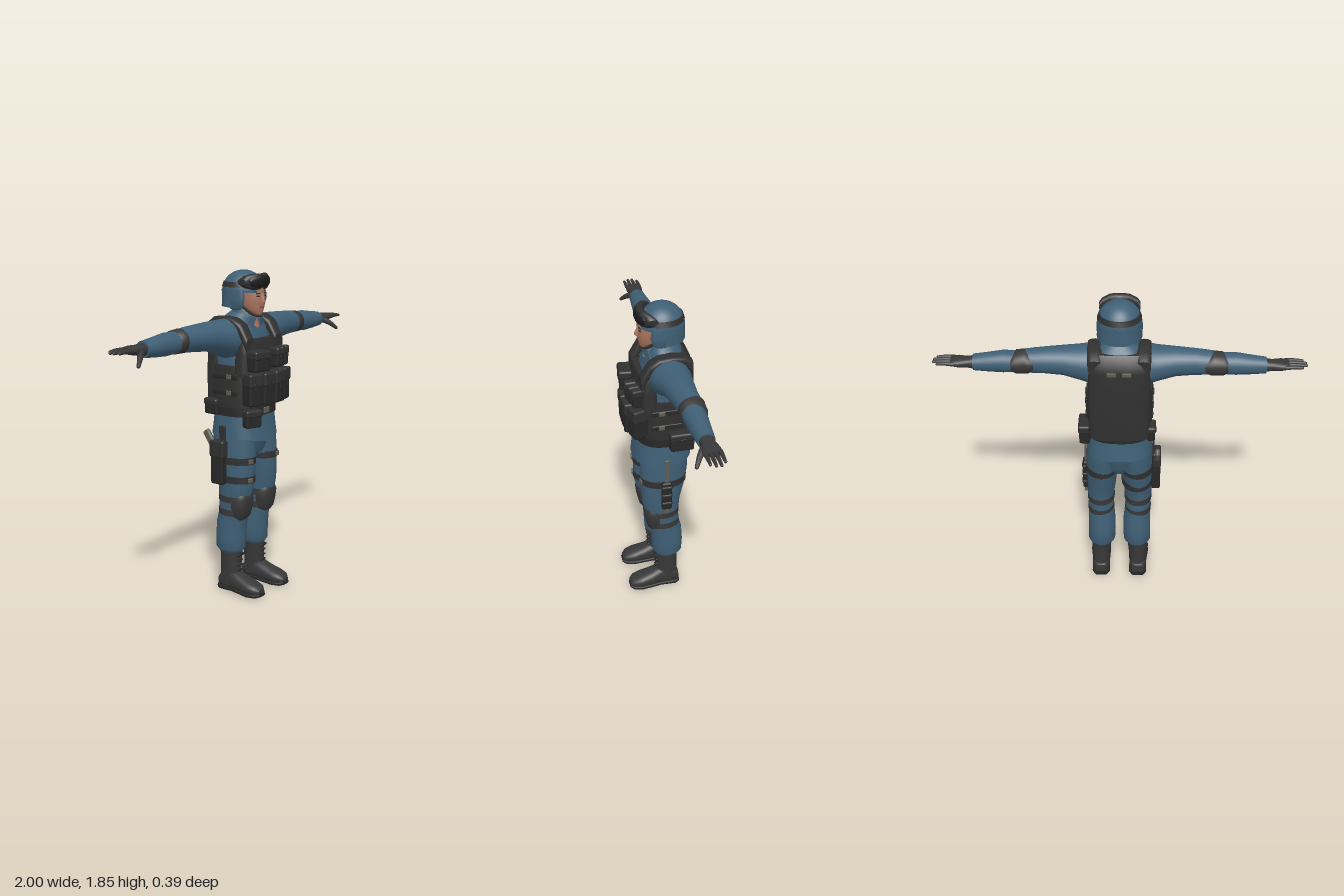
import * as THREE from 'three';
import { RoundedBoxGeometry } from 'three/addons/geometries/RoundedBoxGeometry.js';

const mat = (name, color, side = THREE.FrontSide) => {
  const m = new THREE.MeshStandardMaterial({ color, side });
  m.name = name;
  return m;
};

// Lofts superellipse rings along an axis. Row: [position, centreA, centreB, radiusA, radiusB]
// (A, B) is (x, z) for axis y, (y, z) for axis x, (x, y) for axis z.
function loft(axis, rows, power = 2, n = 28) {
  const sorted = [...rows].sort((a, b) => a[0] - b[0]);
  const pos = [], index = [];
  const se = v => Math.sign(v) * Math.abs(v) ** (2 / power);
  const ring = ([t, a, b, ra, rb]) => {
    for (let j = 0; j < n; j++) {
      const ang = j / n * Math.PI * 2;
      const u = a + ra * se(Math.cos(ang));
      const v = b + rb * se(Math.sin(ang)) * (axis === 'y' ? 1 : -1);
      if (axis === 'y') pos.push(u, t, v);
      else if (axis === 'x') pos.push(t, u, v);
      else pos.push(u, v, t);
    }
  };
  sorted.forEach(ring);
  for (let i = 0; i < sorted.length - 1; i++) {
    for (let j = 0; j < n; j++) {
      const k = (j + 1) % n, p = i * n, q = p + n;
      index.push(p + j, q + j, q + k, p + j, q + k, p + k);
    }
  }
  // Caps have their own rings so that their edges stay sharp
  [sorted[0], sorted[sorted.length - 1]].forEach((row, end) => {
    const base = pos.length / 3;
    ring(row);
    for (let j = 1; j < n - 1; j++) {
      index.push(base, base + (end ? j + 1 : j), base + (end ? j : j + 1));
    }
  });
  const g = new THREE.BufferGeometry();
  g.setAttribute('position', new THREE.Float32BufferAttribute(pos, 3));
  g.setIndex(index);
  g.computeVertexNormals();
  return g;
}

export function createModel() {
  const root = new THREE.Group();
  const blue = mat('blueCloth', 0x3f5f75, THREE.DoubleSide);
  const vest = mat('vestBlack', 0x303030);
  const pouchMat = mat('pouchBlack', 0x282828);
  const leather = mat('leatherGrey', 0x383838);
  const skin = mat('skin', 0xa8745f);
  const buckle = mat('buckleGrey', 0x605c52);
  const lens = mat('lensBlack', 0x1c1c1f);
  const lip = mat('lipRed', 0x84504a);

  const add = (name, geo, m) => {
    const mesh = new THREE.Mesh(geo, m);
    mesh.name = name;
    root.add(mesh);
    return mesh;
  };
  const box = (name, m, x, y, z, w, h, d, ry = 0, r = 0.012) => {
    const mesh = add(name, new RoundedBoxGeometry(w, h, d, 2, Math.min(r, w / 2.1, h / 2.1, d / 2.1)), m);
    mesh.position.set(x, y, z);
    mesh.rotation.y = ry;
    return mesh;
  };
  const limb = (name, m, pts, r0, r1) => {
    const curve = new THREE.CatmullRomCurve3(pts.map(p => new THREE.Vector3(...p)));
    const g = new THREE.TubeGeometry(curve, 8, r0, 10), p = g.attributes.position;
    const c = new THREE.Vector3(), v = new THREE.Vector3();
    for (let i = 0; i < p.count; i++) {
      const t = Math.floor(i / 11) / 8;
      curve.getPointAt(t, c);
      v.fromBufferAttribute(p, i).sub(c).multiplyScalar(1 + (r1 / r0 - 1) * t).add(c);
      p.setXYZ(i, v.x, v.y, v.z);
    }
    add(name, g, m);
    const tip = add(name + 'Tip', new THREE.SphereGeometry(r1, 10, 8), m);
    tip.position.set(...pts[pts.length - 1]);
  };

  // Jacket, with a hem that dips at the front centre
  const jacket = loft('y', [
    [0.935, 0, -0.025, 0.187, 0.166], [1.0, 0, -0.025, 0.181, 0.156], [1.1, 0, -0.025, 0.172, 0.145],
    [1.3, 0, -0.03, 0.165, 0.135], [1.45, 0, -0.035, 0.17, 0.13], [1.54, 0, -0.045, 0.16, 0.115],
    [1.59, 0, -0.045, 0.12, 0.088], [1.625, 0, -0.035, 0.07, 0.062]], 2.4, 40);
  const jp = jacket.attributes.position;
  for (let i = 0; i < jp.count; i++) {
    if (jp.getY(i) < 0.95 && jp.getZ(i) > 0) jp.setY(i, jp.getY(i) - 0.035 * (1 - Math.abs(jp.getX(i)) / 0.19));
  }
  add('jacket', jacket, blue);
  add('trouserSeat', loft('y', [[0.79, 0, -0.03, 0.06, 0.08], [0.85, 0, -0.025, 0.13, 0.12], [0.96, 0, -0.025, 0.18, 0.145]]), blue);
  const collar = add('collar', new THREE.CylinderGeometry(0.068, 0.085, 0.075, 28, 1, true, 0.17 * Math.PI, 1.66 * Math.PI), blue);
  collar.position.set(0, 1.605, -0.025);
  for (const s of [-1, 1]) {
    const lapel = box('collarLapel', blue, s * 0.052, 1.565, 0.056, 0.045, 0.085, 0.012, s * 0.5, 0.005);
    lapel.rotation.z = s * 0.4;
  }

  // Vest
  add('vestWaist', loft('y', [[1.07, 0, -0.03, 0.178, 0.153], [1.2, 0, -0.03, 0.183, 0.156], [1.34, 0, -0.032, 0.178, 0.15]], 2.6, 40), vest);
  add('vestFront', loft('y', [[1.28, 0, 0.07, 0.178, 0.062], [1.4, 0, 0.072, 0.172, 0.06], [1.46, 0, 0.068, 0.163, 0.058], [1.485, 0, 0.065, 0.155, 0.05]], 3, 40), vest);
  add('vestBack', loft('y', [[1.08, 0, -0.135, 0.165, 0.057], [1.3, 0, -0.13, 0.17, 0.06], [1.5, 0, -0.125, 0.165, 0.06],
    [1.56, 0, -0.115, 0.155, 0.055], [1.59, 0, -0.1, 0.14, 0.04]], 3, 40), vest);
  for (const s of [-1, 1]) {
    add('shoulderStrap', loft('z', [[-0.165, s * 0.128, 1.53, 0.038, 0.04], [-0.12, s * 0.13, 1.575, 0.04, 0.026], [-0.05, s * 0.13, 1.588, 0.041, 0.02],
      [0.02, s * 0.13, 1.575, 0.041, 0.026], [0.07, s * 0.13, 1.535, 0.04, 0.04], [0.118, s * 0.13, 1.45, 0.036, 0.045]], 3), vest);
    for (const y of [1.19, 1.28]) {
      box('sideStrap', pouchMat, s * 0.18, y, -0.02, 0.012, 0.03, 0.17);
      box('sideBuckle', buckle, s * 0.187, y, 0.01, 0.008, 0.026, 0.035);
    }
    box('backBuckle', buckle, s * 0.04, 1.5, -0.186, 0.05, 0.025, 0.008);
  }
  add('belt', loft('y', [[1.055, 0, -0.028, 0.182, 0.158], [1.105, 0, -0.028, 0.182, 0.158]], 2.5, 40), pouchMat);
  box('beltBuckle', buckle, 0, 1.08, 0.13, 0.05, 0.035, 0.01);

  // Pouches, each with a flap
  const pouch = (name, x, y, z, w, h, d, ry = 0) => {
    const g = new THREE.Group();
    g.name = name;
    const body = box(name + 'Body', pouchMat, 0, 0, 0, w, h, d);
    const flap = box(name + 'Flap', vest, 0, h * 0.3, 0.003, w + 0.006, h * 0.42, d + 0.006);
    const tab = box(name + 'Tab', pouchMat, 0, h * 0.08, d / 2 + 0.003, w * 0.25, h * 0.3, 0.008);
    g.add(body, flap, tab);
    g.position.set(x, y, z);
    g.rotation.y = ry;
    root.add(g);
  };
  pouch('radioPouch', -0.1, 1.372, 0.15, 0.115, 0.115, 0.075, -0.12);
  [0.05, 0.098, 0.143].forEach((x, i) => pouch('smallPouch', x, 1.375, 0.152 - i * 0.01, 0.04, 0.11, 0.065, i * 0.1));
  for (const s of [-1, 1]) {
    pouch('magazinePouch', s * 0.047, 1.215, 0.155, 0.09, 0.18, 0.08, s * 0.05);
    pouch('outerPouch', s * 0.134, 1.215, 0.132, 0.082, 0.18, 0.08, s * 0.3);
  }
  pouch('beltPouch', -0.125, 1.05, 0.125, 0.1, 0.1, 0.055, -0.35);
  pouch('hipPouch', 0.19, 1.097, -0.1, 0.135, 0.115, 0.06, Math.PI / 2);
  pouch('rearHipPouch', -0.175, 1.1, -0.115, 0.09, 0.09, 0.045, -Math.PI / 2);

  // Head
  add('neck', loft('y', [[1.5, 0, 0.01, 0.012, 0.05], [1.55, 0, 0.012, 0.04, 0.062], [1.6, 0, -0.005, 0.05, 0.055], [1.67, 0, -0.01, 0.052, 0.055]]), skin);
  add('head', loft('y', [[1.608, 0, 0.06, 0.022, 0.028], [1.62, 0, 0.048, 0.04, 0.045], [1.645, 0, 0.03, 0.056, 0.068],
    [1.68, 0, 0.02, 0.065, 0.081], [1.72, 0, 0.015, 0.068, 0.086], [1.78, 0, 0.005, 0.068, 0.083]], 2.2), skin);
  add('nose', loft('y', [[1.676, 0, 0.1, 0.013, 0.013], [1.685, 0, 0.103, 0.014, 0.017], [1.705, 0, 0.1, 0.009, 0.012], [1.73, 0, 0.095, 0.006, 0.008]], 2, 12), skin);
  box('mouth', lip, 0, 1.655, 0.098, 0.038, 0.009, 0.008);
  for (const s of [-1, 1]) {
    box('eye', lens, s * 0.03, 1.714, 0.093, 0.02, 0.007, 0.009, s * 0.25);
    box('eyebrow', vest, s * 0.03, 1.729, 0.094, 0.03, 0.006, 0.009, s * 0.25);
    limb('chinStrap', vest, [[s * 0.1, 1.69, 0.0], [s * 0.068, 1.645, 0.035], [s * 0.035, 1.612, 0.066], [0, 1.605, 0.085]], 0.007, 0.009);
  }

  // Helmet
  const dome = add('helmetDome', new THREE.SphereGeometry(1, 36, 14, 0, Math.PI * 2, 0, Math.PI / 2), blue);
  dome.scale.set(0.118, 0.115, 0.122);
  dome.position.set(0, 1.737, -0.03);
  const skirt = add('helmetSkirt', new THREE.CylinderGeometry(1, 1.02, 0.085, 36, 1, true, 0.32 * Math.PI, 1.36 * Math.PI), blue);
  skirt.scale.set(0.118, 1, 0.122);
  skirt.position.set(0, 1.695, -0.03);
  for (const s of [-1, 1]) {
    add('earGuard', loft('y', [[1.64, s * 0.095, -0.01, 0.012, 0.03], [1.655, s * 0.1, -0.01, 0.02, 0.05], [1.7, s * 0.1, -0.005, 0.023, 0.058], [1.75, s * 0.098, -0.01, 0.018, 0.055]]), blue);
  }
  add('helmetRim', loft('y', [[1.733, 0, -0.03, 0.119, 0.124], [1.743, 0, -0.03, 0.119, 0.124]]), blue);
  add('goggleStrap', loft('y', [[1.762, 0, -0.03, 0.118, 0.122], [1.79, 0, -0.03, 0.108, 0.113]]), vest);
  const goggle = (grow, z) => [-1, -0.85, -0.5, -0.2, 0, 0.2, 0.5, 0.85, 1].map(t => {
    const x = t * 0.108 * grow, a = Math.abs(t);
    return [x, 1.793 + (a < 0.1 ? 0.007 : 0), z - 4.2 * x * x, (a === 1 ? 0.016 : a > 0.8 ? 0.034 : a < 0.1 ? 0.035 : 0.044) * grow, 0.026];
  });
  add('goggleFrame', loft('x', goggle(1, 0.088), 2.6), vest);
  add('goggleLens', loft('x', goggle(0.82, 0.094), 2.6), lens);

  for (const s of [-1, 1]) {
    const side = rows => rows.map(([t, ...r]) => [s * t, ...r]);
    const shift = rows => rows.map(([y, x, ...r]) => [y, s * x, ...r]);

    // Sleeve, elbow pad and glove
    add('sleeve', loft('x', side([[0.1, 1.485, -0.035, 0.1, 0.1], [0.155, 1.485, -0.035, 0.112, 0.112], [0.2, 1.495, -0.043, 0.098, 0.104],
      [0.3, 1.51, -0.05, 0.08, 0.084], [0.4, 1.512, -0.055, 0.072, 0.072], [0.46, 1.512, -0.06, 0.068, 0.068], [0.56, 1.507, -0.062, 0.058, 0.06],
      [0.62, 1.506, -0.062, 0.061, 0.059], [0.7, 1.502, -0.063, 0.053, 0.052], [0.78, 1.5, -0.064, 0.044, 0.046]])), blue);
    add('elbowPad', loft('x', side([[0.455, 1.51, -0.095, 0.035, 0.035], [0.485, 1.51, -0.075, 0.06, 0.064], [0.5, 1.51, -0.065, 0.066, 0.071],
      [0.55, 1.508, -0.067, 0.063, 0.069], [0.575, 1.507, -0.085, 0.04, 0.045]])), leather);
    add('glovePalm', loft('x', side([[0.765, 1.5, -0.064, 0.036, 0.04], [0.81, 1.502, -0.066, 0.027, 0.036], [0.86, 1.505, -0.066, 0.024, 0.047],
      [0.9, 1.507, -0.066, 0.016, 0.046]]), 2.4), leather);
    [0.968, 0.992, 0.99, 0.975].forEach((tip, i) => {
      const z = -0.103 + i * 0.025;
      limb('finger', leather, [[s * 0.88, 1.507, z], [s * 0.93, 1.51, z], [s * tip, 1.507, z]], 0.013, 0.008);
    });
    limb('thumb', leather, [[s * 0.815, 1.495, -0.045], [s * 0.85, 1.472, -0.015], [s * 0.89, 1.437, 0.012]], 0.02, 0.01);

    // Trouser leg
    add('trouserLeg', loft('y', shift([[0.24, 0.106, -0.04, 0.06, 0.07], [0.265, 0.106, -0.042, 0.08, 0.088], [0.33, 0.104, -0.042, 0.081, 0.092],
      [0.42, 0.104, -0.036, 0.079, 0.092], [0.5, 0.108, -0.016, 0.074, 0.09], [0.58, 0.11, -0.007, 0.078, 0.1], [0.65, 0.106, -0.003, 0.083, 0.112],
      [0.75, 0.102, -0.012, 0.09, 0.127], [0.85, 0.097, -0.02, 0.094, 0.136], [0.95, 0.092, -0.025, 0.094, 0.136]])), blue);

    // Knee pad with straps, thigh straps
    add('kneePad', loft('y', shift([[0.445, 0.11, 0.035, 0.035, 0.025], [0.47, 0.11, 0.03, 0.062, 0.05], [0.53, 0.11, 0.03, 0.071, 0.064],
      [0.575, 0.11, 0.03, 0.073, 0.07], [0.6, 0.11, 0.03, 0.06, 0.064]]), 2.5), leather);
    for (const [y, z, rx, rz] of [[0.49, -0.018, 0.077, 0.093], [0.57, -0.008, 0.08, 0.102]]) {
      add('kneeStrap', loft('y', [[y - 0.018, s * 0.109, z, rx, rz], [y + 0.018, s * 0.109, z, rx, rz]]), leather);
    }
    for (const [y, z, rx, rz] of s < 0 ? [[0.8, -0.016, 0.095, 0.134], [0.69, -0.006, 0.09, 0.121]] : [[0.8, -0.016, 0.095, 0.134]]) {
      add('thighStrap', loft('y', [[y - 0.02, s * 0.102, z, rx, rz], [y + 0.02, s * 0.102, z, rx, rz]]), vest);
      box('thighBuckle', buckle, s * 0.125, y, z + rz, 0.035, 0.028, 0.012, s * 0.2);
    }

    // Boot
    add('bootShaft', loft('y', shift([[0.04, 0.113, -0.04, 0.052, 0.068], [0.12, 0.111, -0.038, 0.052, 0.064], [0.2, 0.108, -0.038, 0.057, 0.064],
      [0.27, 0.106, -0.04, 0.062, 0.068]])), leather);
    add('bootFoot', loft('z', [[-0.108, s * 0.112, 0.05, 0.035, 0.03], [-0.08, s * 0.112, 0.062, 0.05, 0.052], [0, s * 0.113, 0.068, 0.052, 0.062],
      [0.06, s * 0.116, 0.055, 0.056, 0.048], [0.12, s * 0.118, 0.047, 0.059, 0.038], [0.165, s * 0.118, 0.041, 0.05, 0.03], [0.188, s * 0.117, 0.034, 0.028, 0.016]], 2.4), leather);
    add('bootSole', loft('z', [[-0.112, s * 0.112, 0.014, 0.036, 0.014], [-0.085, s * 0.112, 0.014, 0.054, 0.014], [0, s * 0.113, 0.016, 0.052, 0.012],
      [0.12, s * 0.118, 0.013, 0.061, 0.013], [0.17, s * 0.118, 0.014, 0.05, 0.012], [0.192, s * 0.117, 0.018, 0.028, 0.01]], 4), pouchMat);
    for (let i = 0; i < 4; i++) box('bootLace', pouchMat, s * 0.11, 0.13 + i * 0.03, 0.026, 0.05, 0.009, 0.012);
    box('bootTie', pouchMat, s * 0.108, 0.225, 0.03, 0.06, 0.015, 0.016);
  }

  // Holster and pistol on the right thigh
  box('holster', pouchMat, -0.21, 0.77, -0.045, 0.05, 0.21, 0.085);
  box('holsterTop', vest, -0.212, 0.87, -0.045, 0.05, 0.1, 0.1);
  box('holsterHanger', vest, -0.193, 0.93, -0.03, 0.012, 0.14, 0.045);
  const grip = box('pistolGrip', buckle, -0.215, 0.925, -0.105, 0.026, 0.1, 0.045);
  grip.rotation.x = -0.6;

  // Thigh pouch hanging on the left leg
  box('pouchHanger', buckle, 0.196, 0.89, -0.02, 0.01, 0.17, 0.028);
  box('thighPouch', pouchMat, 0.197, 0.73, -0.017, 0.032, 0.19, 0.06);
  for (const y of [0.68, 0.735, 0.79]) box('thighPouchBand', vest, 0.2, y, -0.017, 0.034, 0.026, 0.066);
  box('thighPouchTip', buckle, 0.195, 0.62, -0.017, 0.018, 0.04, 0.035);

  return root;
}
